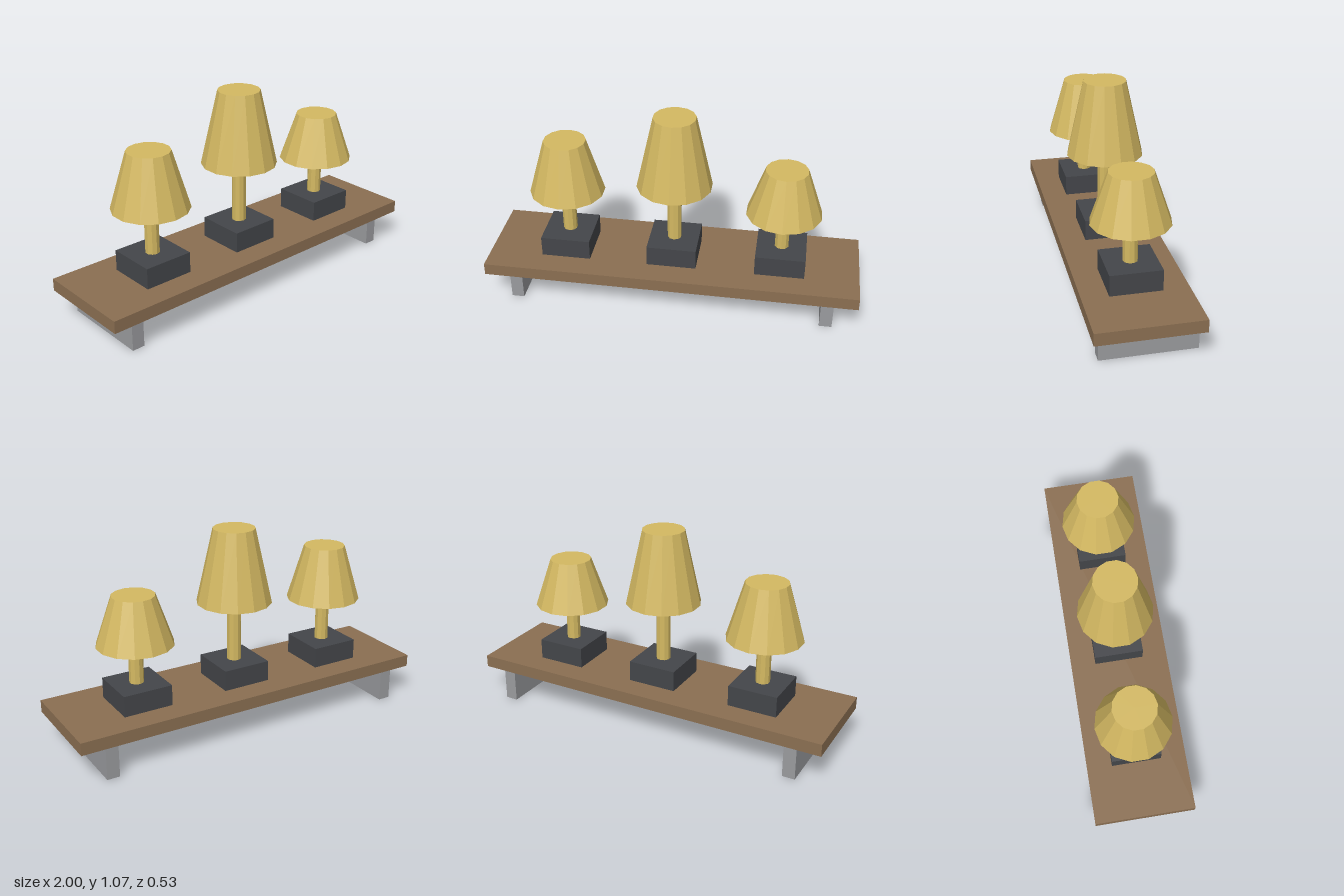
import * as THREE from 'three';

const material = (color) => new THREE.MeshStandardMaterial({ color, flatShading: true });

export function createModel() {
  const model = new THREE.Group();
  const wood = material(0x8b6f52);
  const steel = material(0x9a9b9e);
  const charcoal = material(0x44464a);
  const brass = material(0xd4b962);

  const add = (parent, name, geometry, mat, x, y, z) => {
    const mesh = new THREE.Mesh(geometry, mat);
    mesh.name = name;
    mesh.position.set(x, y, z);
    parent.add(mesh);
  };

  // Shelf board
  const shelfBottom = 0.168, shelfTop = 0.234, depth = 0.534;
  add(model, 'shelfBoard', new THREE.BoxGeometry(2, shelfTop - shelfBottom, depth),
    wood, 0, (shelfTop + shelfBottom) / 2, 0);

  // Brackets, flush with the back edge of the board
  for (const side of [-1, 1]) {
    add(model, side < 0 ? 'rightBracket' : 'leftBracket',
      new THREE.BoxGeometry(0.067, shelfBottom, 0.49),
      steel, side * 0.843, shelfBottom / 2, -0.022);
  }

  // Lamps: square base, ten-sided stem, fourteen-sided tapered shade
  const baseHeight = 0.111, baseTop = shelfTop + baseHeight;
  const makeLamp = (name, x, shadeBottom, shadeTop) => {
    const lamp = new THREE.Group();
    lamp.name = name;
    lamp.position.x = x;
    add(lamp, 'base', new THREE.BoxGeometry(0.265, baseHeight, 0.265),
      charcoal, 0, shelfTop + baseHeight / 2, 0);
    add(lamp, 'stem', new THREE.CylinderGeometry(0.038, 0.038, shadeBottom - baseTop, 10),
      brass, 0, (shadeBottom + baseTop) / 2, 0);
    add(lamp, 'shade', new THREE.CylinderGeometry(0.111, 0.2, shadeTop - shadeBottom, 14),
      brass, 0, (shadeBottom + shadeTop) / 2, 0);
    model.add(lamp);
  };
  makeLamp('rightLamp', -0.578, 0.587, 0.888);
  makeLamp('centreLamp', 0, 0.67, 1.068);
  makeLamp('leftLamp', 0.578, 0.552, 0.812);

  return model;
}
